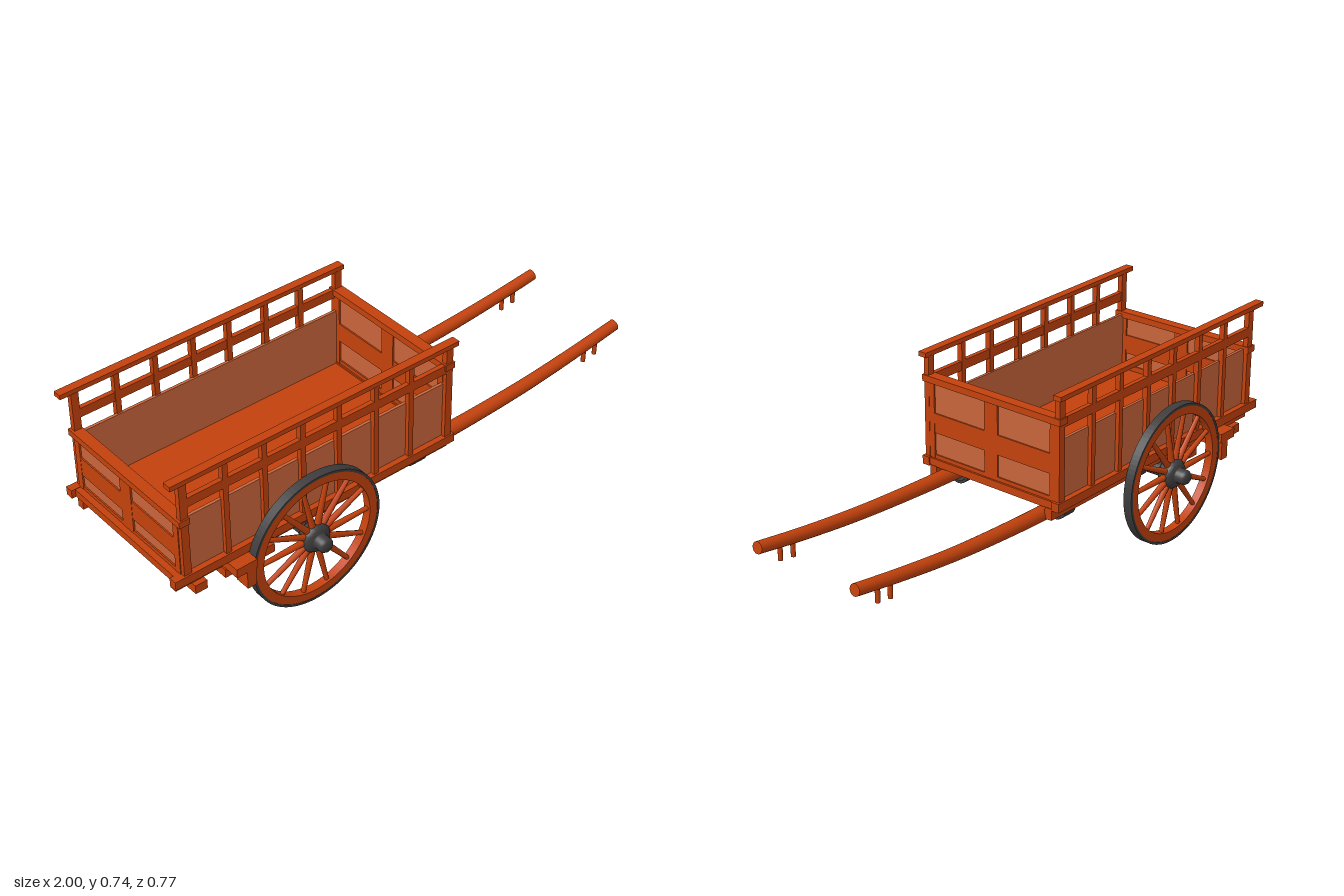
import * as THREE from 'three';

export function createModel() {
  const cart = new THREE.Group();
  cart.name = 'handcart';
  const mat = (name, color) => {
    const m = new THREE.MeshStandardMaterial({ color });
    m.name = name;
    return m;
  };
  const wood = mat('orange wood', 0xc2410c);
  const panel = mat('pale wood', 0xc8643a);
  const iron = mat('dark iron', 0x3e3c3c);

  const add = (name, geo, material, parent = cart) => {
    const mesh = new THREE.Mesh(geo, material);
    mesh.name = name;
    parent.add(mesh);
    return mesh;
  };
  // Box given by its limits on each axis
  const box = (name, material, x0, x1, y0, y1, z0, z1, parent = cart) => {
    const geo = new THREE.BoxGeometry(x1 - x0, y1 - y0, z1 - z0);
    geo.translate((x0 + x1) / 2, (y0 + y1) / 2, (z0 + z1) / 2);
    return add(name, geo, material, parent);
  };
  // Box repeated on both sides of the cart
  const pair = (name, material, x0, x1, y0, y1, z0, z1) => {
    box(name + 'Left', material, x0, x1, y0, y1, z0, z1);
    box(name + 'Right', material, x0, x1, y0, y1, -z1, -z0);
  };

  // Bed and base frame
  box('floor', wood, -0.97, 0.13, 0.332, 0.352, -0.275, 0.275);
  pair('baseRail', wood, -1, 0.143, 0.328, 0.36, 0.27, 0.3);
  pair('sideBeam', wood, -0.98, 0.14, 0.29, 0.332, 0.24, 0.268);
  box('frontSill', wood, 0.1, 0.138, 0.33, 0.358, -0.27, 0.27);
  box('rearSill', wood, -0.985, -0.94, 0.33, 0.358, -0.27, 0.27);

  // Side walls: boards, posts and rails
  pair('sidePanel', panel, -0.95, 0.12, 0.35, 0.572, 0.268, 0.279);
  pair('middleRail', wood, -0.955, 0.13, 0.622, 0.656, 0.277, 0.294);
  pair('topRail', wood, -1, 0.145, 0.724, 0.741, 0.275, 0.307);
  for (const x of [-0.947, -0.79, -0.64, -0.49, -0.345, -0.192, -0.045, 0.119]) {
    const w = x < -0.9 || x > 0.1 ? 0.014 : 0.01;
    pair('sidePost', wood, x - w, x + w, 0.35, 0.726, 0.274, 0.294);
  }

  // Framed end boards, each with four pale panels
  const gate = (name, x, top) => {
    const g = new THREE.Group();
    g.name = name;
    const mid = 0.355 + (top - 0.355) * 0.46;
    box('boards', panel, x - 0.008, x + 0.008, 0.35, top, -0.272, 0.272, g);
    box('bottomBar', wood, x - 0.013, x + 0.013, 0.35, 0.372, -0.272, 0.272, g);
    box('middleBar', wood, x - 0.013, x + 0.013, mid - 0.036, mid + 0.036, -0.272, 0.272, g);
    box('centreBar', wood, x - 0.014, x + 0.014, 0.35, top, -0.029, 0.029, g);
    for (const z of [-0.265, 0.265])
      box('endBar', wood, x - 0.014, x + 0.014, 0.35, top, z - 0.013, z + 0.013, g);
    box('capRail', wood, x - 0.02, x + 0.02, top - 0.012, top + 0.012, -0.299, 0.299, g);
    cart.add(g);
  };
  gate('frontGate', 0.118, 0.646);
  gate('rearGate', -0.95, 0.57);

  // Slatted rack and brake blocks under the rear
  for (const x of [-0.895, -0.78, -0.63])
    box('rackSlat', wood, x - 0.023, x + 0.023, 0.255, 0.288, -0.285, 0.285);
  pair('rackRunner', wood, -0.92, -0.605, 0.245, 0.257, 0.17, 0.21);
  pair('brakeArm', wood, -0.8, -0.72, 0.292, 0.326, 0.265, 0.343);
  pair('brakeBlock', wood, -0.76, -0.725, 0.225, 0.3, 0.285, 0.343);

  // Shafts, swept with a taper, plus pegs and iron straps
  const makeShaft = (side) => {
    const g = new THREE.Group();
    g.name = side > 0 ? 'shaftLeft' : 'shaftRight';
    const path = new THREE.CatmullRomCurve3([
      [-0.39, 0.293, 0.214], [0, 0.295, 0.216], [0.25, 0.3, 0.217],
      [0.55, 0.316, 0.216], [0.8, 0.342, 0.213], [0.995, 0.369, 0.211],
    ].map(([x, y, z]) => new THREE.Vector3(x, y, z * side)));
    const steps = 32, sides = 16;
    const radius = (t) => 0.03 - 0.009 * t;
    const geo = new THREE.TubeGeometry(path, steps, 1, sides);
    const p = geo.attributes.position;
    const v = new THREE.Vector3();
    for (let i = 0; i < p.count; i++) {
      const t = Math.floor(i / (sides + 1)) / steps;
      const c = path.getPointAt(t);
      v.fromBufferAttribute(p, i).sub(c).multiplyScalar(radius(t)).add(c);
      p.setXYZ(i, v.x, v.y, v.z);
    }
    add('pole', geo, wood, g);
    for (const t of [0, 1]) {
      const cap = add('poleEnd', new THREE.CircleGeometry(radius(t), sides), wood, g);
      const at = path.getPointAt(t);
      cap.position.copy(at);
      cap.lookAt(at.clone().addScaledVector(path.getTangentAt(t), t ? 1 : -1));
    }
    for (const x of [0.845, 0.9]) {
      const peg = add('peg', new THREE.CylinderGeometry(0.009, 0.008, 0.075, 10), wood, g);
      peg.position.set(x, x > 0.87 ? 0.325 : 0.317, 0.212 * side);
    }
    // U-shaped straps with a flange bolted to the floor
    for (const x of [0.03, -0.37]) {
      const s = new THREE.Shape();
      s.moveTo(-0.046, 0.332);
      s.lineTo(-0.046, 0.295);
      s.absarc(0, 0.295, 0.046, Math.PI, Math.PI * 2, false);
      s.lineTo(0.046, 0.32);
      s.lineTo(0.115, 0.32);
      s.lineTo(0.115, 0.332);
      s.lineTo(0.036, 0.332);
      s.lineTo(0.036, 0.295);
      s.absarc(0, 0.295, 0.036, Math.PI * 2, Math.PI, true);
      s.lineTo(-0.036, 0.332);
      const strapGeo = new THREE.ExtrudeGeometry(s, { depth: 0.056, bevelEnabled: false, curveSegments: 12 });
      strapGeo.translate(0, 0, -0.028);
      // Turn the profile so its flange points towards the centre line
      const strap = add('strap', strapGeo, iron, g);
      if (side > 0) strap.rotation.y = Math.PI / 2;
      else strap.rotation.y = -Math.PI / 2;
      strap.position.set(x, 0, 0.215 * side);
    }
    cart.add(g);
  };
  makeShaft(1);
  makeShaft(-1);

  // Axle
  const AX = -0.468, AY = 0.259;
  const axle = add('axle', new THREE.CylinderGeometry(0.025, 0.025, 0.62, 20), iron);
  axle.rotation.x = Math.PI / 2;
  axle.position.set(AX, AY, 0);

  // Spun part around the wheel axis, from [radius, z] points
  const spin = (pts, segs) => {
    const geo = new THREE.LatheGeometry(pts.map(([r, z]) => new THREE.Vector2(r, z)), segs);
    geo.rotateX(Math.PI / 2);
    return geo;
  };
  const ring = (r0, r1, h) => {
    const s = new THREE.Shape().absarc(0, 0, r1, 0, Math.PI * 2, false);
    s.holes.push(new THREE.Path().absarc(0, 0, r0, 0, Math.PI * 2, true));
    const geo = new THREE.ExtrudeGeometry(s, { depth: h * 2, bevelEnabled: false, curveSegments: 48 });
    return geo.translate(0, 0, -h);
  };

  // Wheels, with the tops leaning slightly outwards
  const makeWheel = (side) => {
    const wheel = new THREE.Group();
    wheel.name = side > 0 ? 'wheelLeft' : 'wheelRight';
    add('tyre', ring(0.249, 0.258, 0.0165), iron, wheel);
    add('rim', ring(0.218, 0.2495, 0.0155), wood, wheel);
    const count = 14;
    for (let i = 0; i < count; i++) {
      const geo = new THREE.CylinderGeometry(0.008, 0.012, 0.185, 8);
      geo.translate(0, 0.13, 0);
      const spoke = add('spoke', geo, wood, wheel);
      spoke.rotation.z = ((i + 0.5) / count) * Math.PI * 2;
    }
    add('hub', spin([[0, -0.03], [0.045, -0.03], [0.053, -0.02], [0.053, 0.012],
      [0.044, 0.024], [0.03, 0.026], [0.027, 0.03], [0.027, 0.058], [0.02, 0.067], [0, 0.069]], 24), iron, wheel);
    wheel.position.set(AX, AY, 0.315 * side);
    wheel.rotation.set(0.02, side > 0 ? 0 : Math.PI, 0, 'YXZ');
    cart.add(wheel);
  };
  makeWheel(1);
  makeWheel(-1);

  return cart;
}
